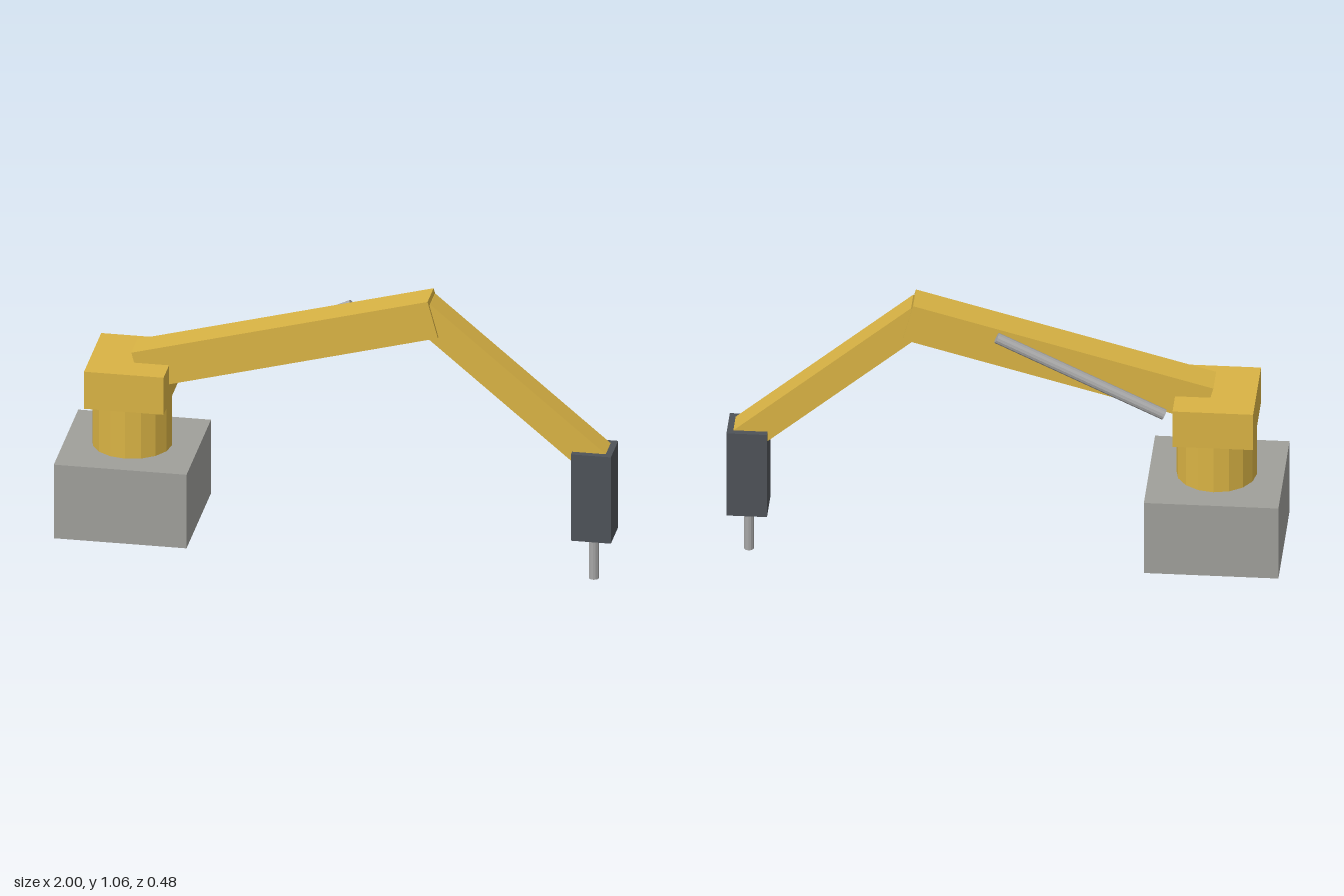
import * as THREE from 'three';

const material = (name, color) => {
  const m = new THREE.MeshStandardMaterial({ color, flatShading: true });
  m.name = name;
  return m;
};

export function createModel() {
  const group = new THREE.Group();
  const yellow = material('yellow paint', 0xd9b344);
  const grey = material('concrete grey', 0x9f9f9a);
  const dark = material('dark tool grey', 0x4e5258);
  const steel = material('steel', 0xa6a6a6);

  const add = (name, geometry, mat, position, tilt = 0) => {
    const mesh = new THREE.Mesh(geometry, mat);
    mesh.name = name;
    mesh.position.set(...position);
    mesh.rotation.z = THREE.MathUtils.degToRad(tilt);
    group.add(mesh);
  };
  const box = (name, mat, size, position, tilt) =>
    add(name, new THREE.BoxGeometry(...size), mat, position, tilt);
  const rod = (name, mat, radius, length, sides, position, tilt) =>
    add(name, new THREE.CylinderGeometry(radius, radius, length, sides), mat, position, tilt);

  // Pedestal and turning column
  box('base', grey, [0.484, 0.29, 0.484], [-0.758, 0.25, 0]);
  rod('column', yellow, 0.145, 0.196, 16, [-0.758, 0.493, 0]);
  box('shoulder', yellow, [0.29, 0.146, 0.34], [-0.758, 0.664, 0]);

  // Two arm segments meeting at the elbow
  box('upperArm', yellow, [1.118, 0.145, 0.121], [-0.192, 0.85, 0], 15);
  box('forearm', yellow, [0.84, 0.109, 0.098], [0.624, 0.738, 0], -40);

  // Support piston behind the upper arm
  rod('piston', steel, 0.02, 0.669, 12, [-0.275, 0.818, -0.085], 25.6 - 90);

  // Tool head with its nozzle
  box('toolHead', dark, [0.146, 0.34, 0.146], [0.927, 0.343, 0]);
  rod('nozzle', steel, 0.018, 0.174, 12, [0.925, 0.087, 0]);

  return group;
}
